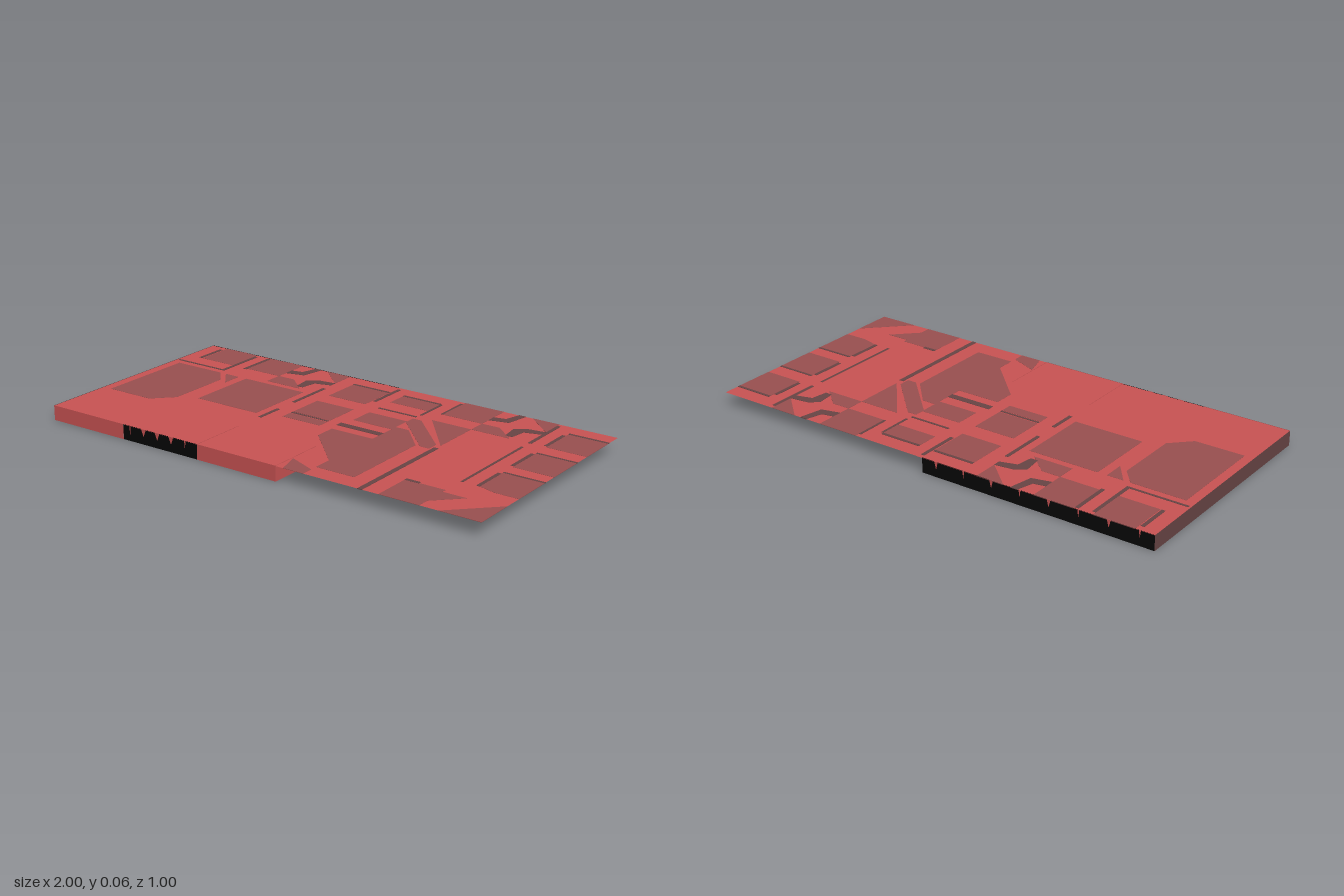
import * as THREE from 'three';

const mat = (name, color, side = THREE.DoubleSide) =>
  Object.assign(new THREE.MeshStandardMaterial({ color, side }), { name });

export function createModel() {
  const group = new THREE.Group();
  const red = mat('red', 0xc95353);
  const dull = mat('dull red', 0x9a5050);
  const brown = mat('dark brown', 0x684545);
  const black = mat('black', 0x060606);
  const H = 0.0625, TOP = 0.061;

  const add = (name, geometry, material) => {
    const mesh = new THREE.Mesh(geometry, material);
    mesh.name = name;
    group.add(mesh);
    return mesh;
  };

  // Open deck sheet
  add('deck', new THREE.PlaneGeometry(2, 1).rotateX(-Math.PI / 2), red).position.y = TOP;

  // Thin inlay showing on both faces of the deck; points are [x, z]
  const inlay = (name, material, points, half = 0.0008) => {
    const shape = new THREE.Shape(points.map(([x, z]) => new THREE.Vector2(x, -z)));
    const g = new THREE.ExtrudeGeometry(shape, { depth: 2 * half, bevelEnabled: false });
    add(name, g.rotateX(-Math.PI / 2), material).position.y = TOP - half;
  };
  const rect = (x0, x1, z0, z1) => [[x0, z0], [x1, z0], [x1, z1], [x0, z1]];
  const dark = (...r) => inlay('darkGroove', brown, rect(...r), 0.0014);

  // Square and rectangular panels
  [
    [-0.92, -0.75, -0.5, -0.33], [-0.67, -0.5, -0.5, -0.33],
    [-0.18, 0, -0.42, -0.25], [0.07, 0.25, -0.42, -0.33],
    [0.32, 0.5, -0.5, -0.33], [0.83, 1, -0.42, -0.25],
    [-0.59, -0.29, -0.22, 0.09], [-0.18, 0, -0.17, -0.01],
    [0.07, 0.25, -0.18, -0.07], [0.83, 1, -0.17, 0], [0.58, 0.75, 0.33, 0.5],
    [-0.18, 0, 0.01, 0.06],
  ].forEach((r) => inlay('panel', dull, rect(...r)));

  // Chamfered, diagonal and irregular panels
  [
    [[-0.96, -0.22], [-0.73, -0.22], [-0.67, -0.15], [-0.67, 0.13], [-0.75, 0.21], [-0.96, 0.21]],
    [[-0.7, -0.22], [-0.63, -0.22], [-0.63, -0.13]],
    [[0.06, 0.06], [0.25, 0.06], [0.25, -0.1], [0.31, -0.1], [0.42, 0.02], [0.42, 0.42],
      [0.25, 0.42], [0.25, 0.34], [0.06, 0.15]],
    [[0.32, -0.25], [0.5, -0.25], [0.5, -0.03]],
    [[0.25, -0.22], [0.29, -0.22], [0.48, -0.03], [0.48, 0.02], [0.44, 0.02], [0.25, -0.17]],
    [[0.83, 0.07], [1, 0.07], [1, 0.25], [0.9, 0.25], [0.83, 0.23]],
    [[0.83, 0.5], [1, 0.33], [1, 0.5]],
    [[0.75, 0.35], [0.85, 0.35], [0.75, 0.45]],
    [[0.13, 0.4], [0.25, 0.45], [0.25, 0.5], [0.16, 0.5]],
  ].forEach((p) => inlay('anglePanel', dull, p));

  // Repeated hooked channel with its diagonal panels
  for (const dx of [0, 1]) {
    const at = (pts) => pts.map(([x, z]) => [x + dx, z]);
    inlay('hookPanel', dull, at([[-0.37, -0.5], [-0.25, -0.5], [-0.25, -0.39]]));
    inlay('hookPanel', dull, at([[-0.5, -0.33], [-0.42, -0.33], [-0.33, -0.25], [-0.5, -0.25]]));
    inlay('hookGroove', brown, at([[-0.5, -0.42], [-0.45, -0.43], [-0.43, -0.5], [-0.4, -0.5],
      [-0.42, -0.4], [-0.5, -0.38]]), 0.0014);
    inlay('hookGroove', brown, at([[-0.25, -0.39], [-0.33, -0.38], [-0.37, -0.35], [-0.36, -0.27],
      [-0.33, -0.27], [-0.32, -0.34], [-0.25, -0.36]]), 0.0014);
  }

  // Dark grooves
  [
    [0.49, 0.51, 0, 0.5], [0.05, 0.25, -0.015, 0.015], [-0.99, -0.74, -0.26, -0.25],
    [-0.94, -0.925, -0.47, -0.33], [-0.75, -0.735, -0.48, -0.25], [-0.685, -0.67, -0.49, -0.32],
    [-0.255, -0.24, -0.31, -0.1], [-0.255, -0.24, 0, 0.12], [0.005, 0.02, -0.48, -0.3],
    [0.25, 0.26, -0.42, -0.27], [0.31, 0.32, -0.48, -0.33], [0.75, 0.765, -0.48, -0.25],
    [0.75, 0.76, -0.2, 0.23], [0.815, 0.83, -0.4, -0.26], [0.815, 0.83, -0.16, -0.01],
    [0.815, 0.83, 0.08, 0.23], [-0.18, 0, -0.432, -0.42], [0.07, 0.25, -0.432, -0.42],
    [0.07, 0.25, -0.25, -0.24], [0.83, 1, -0.432, -0.42], [0.83, 1, -0.18, -0.17],
    [0.83, 1, 0.06, 0.07], [-0.18, 0, -0.005, 0.005], [0.58, 0.64, 0.32, 0.335],
  ].forEach((r) => dark(...r));

  // Hanging walls along x or along z
  const wallX = (name, x0, x1, z, material) =>
    add(name, new THREE.PlaneGeometry(x1 - x0, H), material).position.set((x0 + x1) / 2, H / 2, z);
  const wallZ = (name, x, z0, z1, material) =>
    add(name, new THREE.PlaneGeometry(z1 - z0, H).rotateY(Math.PI / 2), material)
      .position.set(x, H / 2, (z0 + z1) / 2);
  wallX('frontWall', -1, -0.625, 0.5, red);
  wallX('frontBlackWall', -0.625, -0.25, 0.499, black);
  wallX('frontMiddleWall', -0.25, 0.125, 0.5, red);
  wallX('backBlackWall', -1, 0, -0.499, black);
  wallZ('sideWall', -1, -0.5, 0.5, brown);
  wallZ('innerWall', -0.25, 0.25, 0.5, red);
  wallZ('innerWall', 0.125, 0.25, 0.5, red);

  // Small red teeth hanging over the black walls
  const tooth = (x, z, w, h) => {
    const s = new THREE.Shape([[-w, H], [0, H - h], [w, H]].map((p) => new THREE.Vector2(...p)));
    add('tooth', new THREE.ExtrudeGeometry(s, { depth: 0.002, bevelEnabled: false }), red)
      .position.set(x, 0, z);
  };
  for (const x of [-0.52, -0.45, -0.38]) tooth(x, 0.498, 0.012, 0.03);
  for (const x of [-0.59, -0.31]) tooth(x, 0.498, 0.003, 0.035);
  for (let i = 0; i < 8; i++) tooth(-0.94 + i * 0.125, -0.5, i % 2 ? 0.008 : 0.004, 0.03);

  return group;
}
